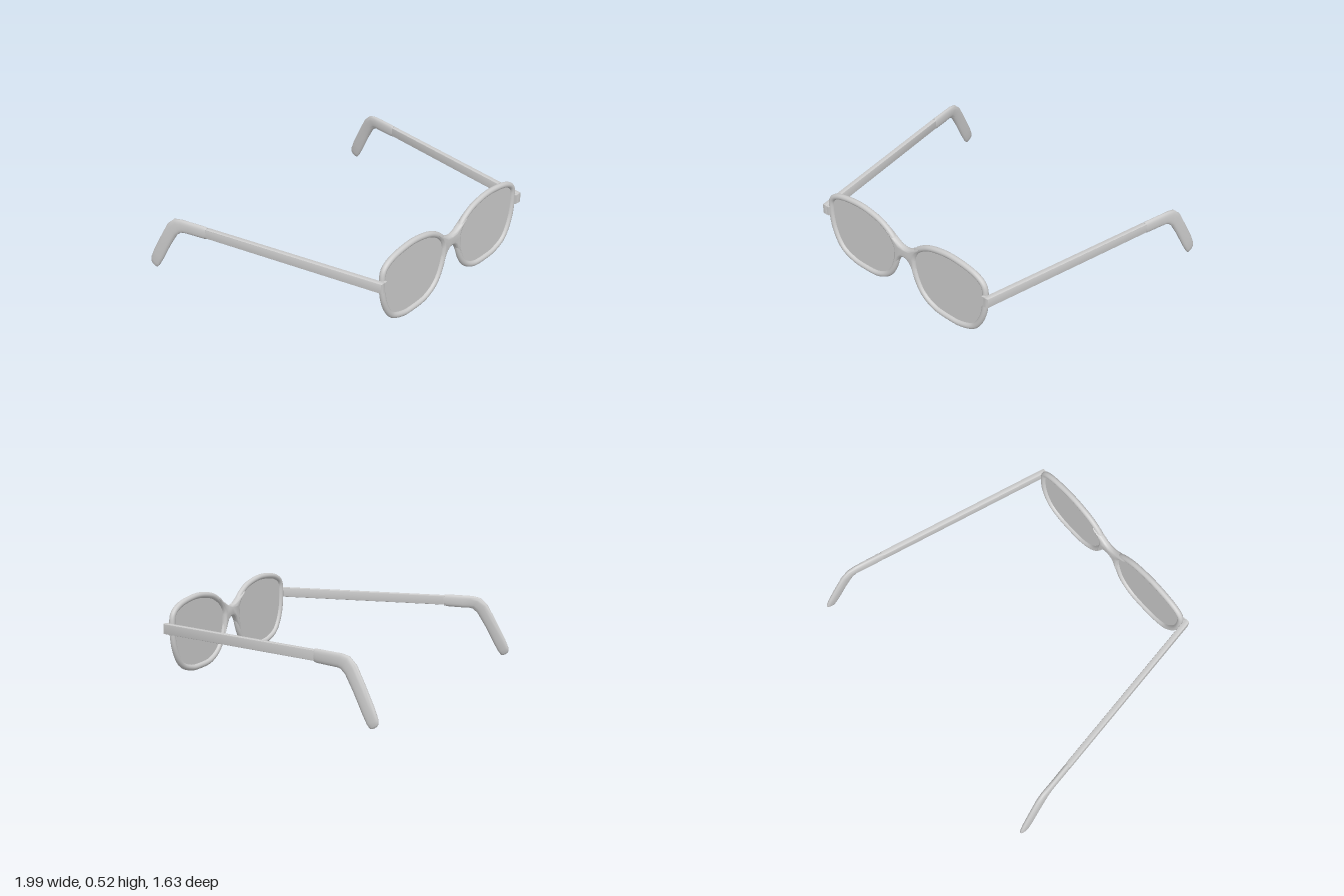
import * as THREE from 'three';
import { toCreasedNormals } from 'three/addons/utils/BufferGeometryUtils.js';

const material = new THREE.MeshStandardMaterial({ color: 0xcccccc });
const lensMaterial = new THREE.MeshStandardMaterial({ color: 0xcccccc, side: THREE.DoubleSide });
const FRONT_Z = 0.78;

function part(name, geometry, mat = material) {
  const mesh = new THREE.Mesh(geometry, mat);
  mesh.name = name;
  return mesh;
}

const points2 = (list) => list.map(([x, y]) => new THREE.Vector2(x, y));

// Sideways splay of the temples, growing towards the back
const splay = (z) => 0.69 + 0.185 * (0.8 - z);

// Centre line of one rim
const rimCurve = new THREE.CatmullRomCurve3([
  [0.41, 0.507], [0.58, 0.479], [0.645, 0.435], [0.658, 0.355], [0.638, 0.215],
  [0.57, 0.1], [0.465, 0.055], [0.377, 0.048], [0.245, 0.06], [0.147, 0.118],
  [0.088, 0.222], [0.069, 0.332], [0.097, 0.402], [0.187, 0.468], [0.297, 0.499],
].map(([x, y]) => new THREE.Vector3(x, y, 0)), true);

// Rounded bridge that flares into both rims
function bridgeGeometry() {
  const half = {
    top: [[0, 0.363], [0.045, 0.37], [0.08, 0.393], [0.14, 0.438]],
    side: [[0.097, 0.402], [0.075, 0.365], [0.069, 0.332], [0.074, 0.275], [0.088, 0.222]],
    bottom: [[0.07, 0.275], [0.05, 0.305], [0.025, 0.322], [0, 0.326]],
  };
  const right = [...half.top, ...half.side, ...half.bottom];
  const left = right.slice(1, -1).reverse().map(([x, y]) => [-x, y]);
  const geometry = new THREE.ExtrudeGeometry(new THREE.Shape(points2([...right, ...left])), {
    depth: 0.006, bevelThickness: 0.02, bevelSize: 0.018, bevelSegments: 6,
  });
  geometry.translate(0, 0, 0.774);
  return toCreasedNormals(geometry, 0.9);
}

// Straight bar drawn from the side, then slanted outwards
function armGeometry() {
  const bevel = 0.007;
  const shape = new THREE.Shape(points2([
    [-0.815 + bevel, 0.318 + bevel], [0.375 - bevel, 0.333 + bevel],
    [0.375 - bevel, 0.396 - bevel], [-0.815 + bevel, 0.384 - bevel],
  ]));
  const geometry = new THREE.ExtrudeGeometry(shape, {
    depth: 0.022, bevelThickness: bevel, bevelSize: bevel, bevelSegments: 2,
  });
  geometry.translate(0, 0, -0.011).rotateY(Math.PI / 2);
  const p = geometry.attributes.position;
  for (let i = 0; i < p.count; i++) p.setX(i, p.getX(i) + splay(p.getZ(i)));
  return toCreasedNormals(geometry, 0.6);
}

// Ear tip lofted from oval sections: z, y, half height, half thickness, tilt
function tipGeometry() {
  const sections = [
    [-0.37, 0.364, 0, 0, 0],
    [-0.37, 0.364, 0.037, 0.017, 0],
    [-0.39, 0.363, 0.041, 0.019, 0],
    [-0.5, 0.362, 0.042, 0.018, 0],
    [-0.55, 0.362, 0.043, 0.018, 0.25],
    [-0.587, 0.355, 0.047, 0.018, 0.6],
    [-0.627, 0.321, 0.046, 0.018, 0.88],
    [-0.688, 0.217, 0.043, 0.017, 1.07],
    [-0.747, 0.106, 0.043, 0.016, 1.09],
    [-0.776, 0.048, 0.039, 0.013, 1.09],
    [-0.787, 0.025, 0.031, 0.009, 1.0],
    [-0.791, 0.018, 0.017, 0.005, 1.0],
    [-0.792, 0.016, 0, 0, 1.0],
  ];
  const sides = 20;
  const positions = [];
  const indices = [];
  const soft = (v) => Math.sign(v) * Math.abs(v) ** 0.8;
  sections.forEach(([z, y, height, thick, tilt], i) => {
    for (let j = 0; j < sides; j++) {
      const a = (j / sides) * Math.PI * 2;
      const across = height * soft(Math.sin(a));
      positions.push(splay(z) + thick * soft(Math.cos(a)),
        y + across * Math.cos(tilt), z - across * Math.sin(tilt));
      if (i === sections.length - 1) continue;
      const k = (j + 1) % sides;
      const a0 = i * sides + j, b0 = i * sides + k;
      indices.push(a0, a0 + sides, b0, b0, a0 + sides, b0 + sides);
    }
  });
  const geometry = new THREE.BufferGeometry();
  geometry.setAttribute('position', new THREE.Float32BufferAttribute(positions, 3));
  geometry.setIndex(indices);
  return toCreasedNormals(geometry, 0.8);
}

// Rim, lens and temple of one side
function buildSide(name) {
  const side = new THREE.Group();
  side.name = name;

  const rim = part('rim', new THREE.TubeGeometry(rimCurve, 96, 0.019, 14, true));
  rim.position.z = FRONT_Z;

  const outline = rimCurve.getPoints(72).slice(0, -1).map((p) => new THREE.Vector2(p.x, p.y));
  const lens = part('lens', new THREE.ShapeGeometry(new THREE.Shape(outline)), lensMaterial);
  lens.position.z = FRONT_Z;

  // Small block joining the temple to the rim
  const hinge = part('hinge', new THREE.BoxGeometry(0.05, 0.062, 0.026));
  hinge.position.set(0.68, 0.35, 0.8);

  side.add(rim, lens, hinge, part('templeArm', armGeometry()), part('earTip', tipGeometry()));
  return side;
}

export function createModel() {
  const glasses = new THREE.Group();
  glasses.name = 'eyeglasses';
  const left = buildSide('leftSide');
  const right = buildSide('rightSide');
  right.scale.x = -1;
  glasses.add(left, right, part('bridge', bridgeGeometry()));
  return glasses;
}
